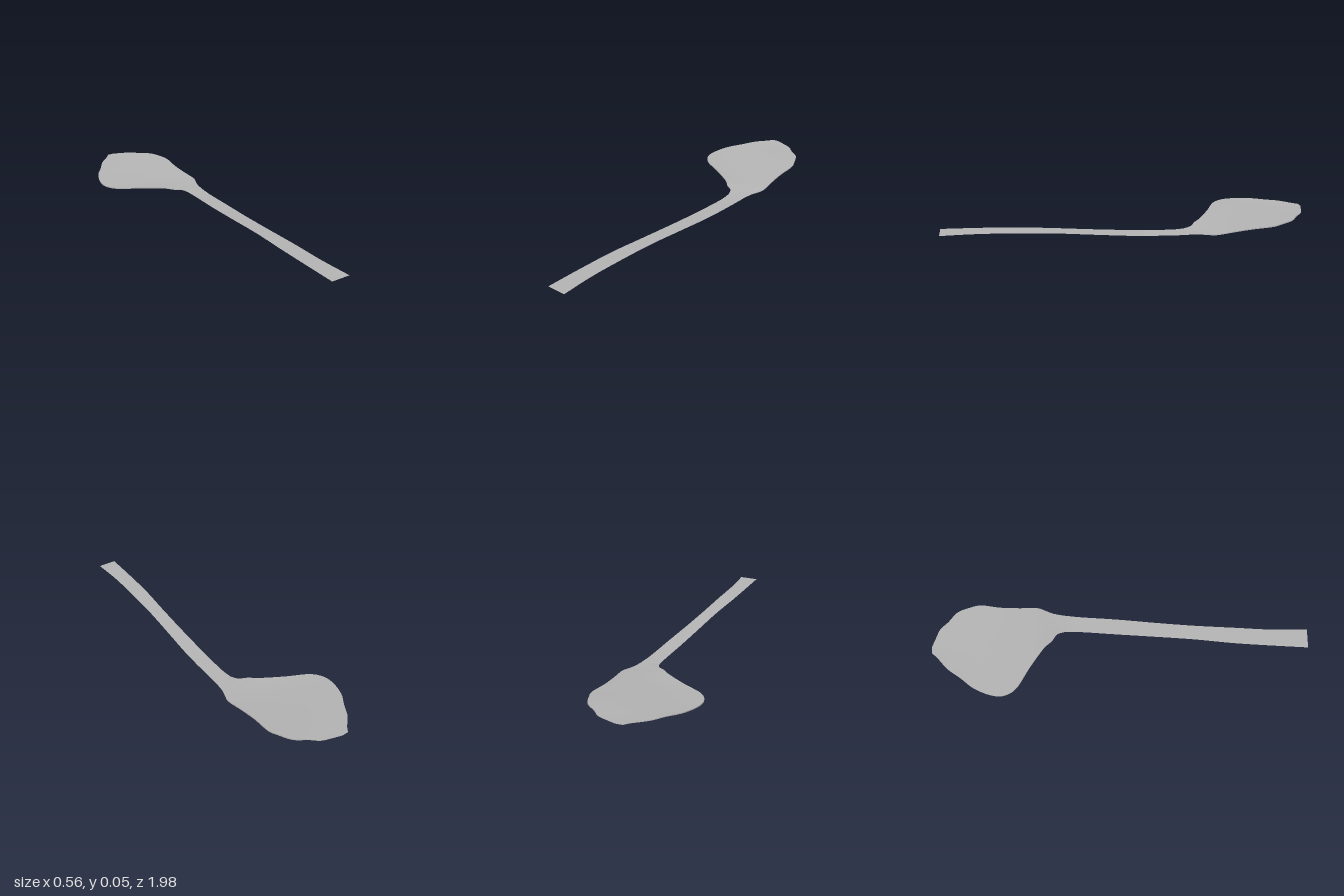
import * as THREE from 'three';

const grey = new THREE.MeshStandardMaterial({ color: 0xb4b4b4, side: THREE.DoubleSide });
grey.name = 'plain grey';

// Edge stations: z left, x left, y left, z right, x right, y right
const handleRows = [
  [0.97, -0.28, 0.045, 0.99, -0.18, 0.045],
  [0.79, -0.235, 0.043, 0.81, -0.147, 0.043],
  [0.59, -0.182, 0.039, 0.61, -0.097, 0.039],
  [0.39, -0.12, 0.03, 0.41, -0.045, 0.03],
  [0.19, -0.063, 0.017, 0.21, 0.014, 0.017],
  [-0.01, -0.008, 0.006, 0.01, 0.075, 0.006],
  [-0.2, 0.043, 0.001, -0.18, 0.126, 0.001],
  [-0.28, 0.058, 0.003, -0.28, 0.155, 0.003],
];
const headRows = [
  [-0.28, 0.058, 0.003, -0.28, 0.155, 0.003],
  [-0.325, 0.05, 0.009, -0.33, 0.175, 0.005],
  [-0.36, 0.015, 0.013, -0.37, 0.2, 0.007],
  [-0.41, -0.02, 0.018, -0.41, 0.22, 0.011],
  [-0.5, -0.115, 0.021, -0.5, 0.232, 0.02],
  [-0.58, -0.21, 0.024, -0.6, 0.25, 0.03],
  [-0.65, -0.24, 0.027, -0.7, 0.278, 0.04],
  [-0.72, -0.225, 0.031, -0.76, 0.274, 0.046],
  [-0.8, -0.175, 0.038, -0.83, 0.257, 0.05],
  [-0.86, -0.11, 0.044, -0.885, 0.21, 0.051],
  [-0.92, -0.05, 0.049, -0.93, 0.178, 0.052],
  [-0.965, 0.02, 0.053, -0.96, 0.13, 0.053],
  [-0.99, 0.05, 0.054, -0.985, 0.085, 0.054],
];

const edge = (rows, k) =>
  new THREE.CatmullRomCurve3(rows.map(r => new THREE.Vector3(r[k + 1], r[k + 2], r[k])), false, 'catmullrom', 0.5);

// Grid sheet from a point function of u (across) and t (along)
function sheet(name, point, nu, nt, flip = false) {
  const pos = [], index = [];
  for (let i = 0; i <= nt; i++)
    for (let j = 0; j <= nu; j++) pos.push(...point(j / nu, i / nt).toArray());
  for (let i = 0; i < nt; i++)
    for (let j = 0; j < nu; j++) {
      const a = i * (nu + 1) + j, b = a + 1, c = a + nu + 1, d = c + 1;
      if (flip) index.push(a, c, b, b, c, d);
      else index.push(a, b, c, b, d, c);
    }
  const g = new THREE.BufferGeometry();
  g.setAttribute('position', new THREE.Float32BufferAttribute(pos, 3));
  g.setIndex(index);
  g.computeVertexNormals();
  const mesh = new THREE.Mesh(g, grey);
  mesh.name = name;
  return mesh;
}

export function createModel() {
  const model = new THREE.Group();
  model.name = 'paddle';

  // Flat ribbon handle
  const hl = edge(handleRows, 0), hr = edge(handleRows, 3);
  model.add(sheet('handle', (u, t) => hl.getPoint(t).lerp(hr.getPoint(t), u), 2, 42));

  // Thin, slightly dished head with top, underside and rim
  const l = edge(headRows, 0), r = edge(headRows, 3);
  const surface = (u, t, depth) => {
    const p = l.getPoint(t).lerp(r.getPoint(t), u);
    const swell = Math.sin(Math.PI * t);
    p.y -= 0.003 * swell * Math.sin(Math.PI * u) + depth * swell;
    return p;
  };
  const thick = 0.006;
  const head = new THREE.Group();
  head.name = 'head';
  head.add(
    sheet('headTop', (u, t) => surface(u, t, 0), 12, 60),
    sheet('headUnderside', (u, t) => surface(u, t, thick), 12, 60, true),
    sheet('leftRim', (u, t) => surface(0, t, thick * (1 - u)), 1, 60),
    sheet('rightRim', (u, t) => surface(1, t, thick * u), 1, 60),
  );
  model.add(head);

  // Stand on the ground
  const box = new THREE.Box3().setFromObject(model);
  model.children.forEach(c => { c.position.y -= box.min.y; });
  return model;
}
